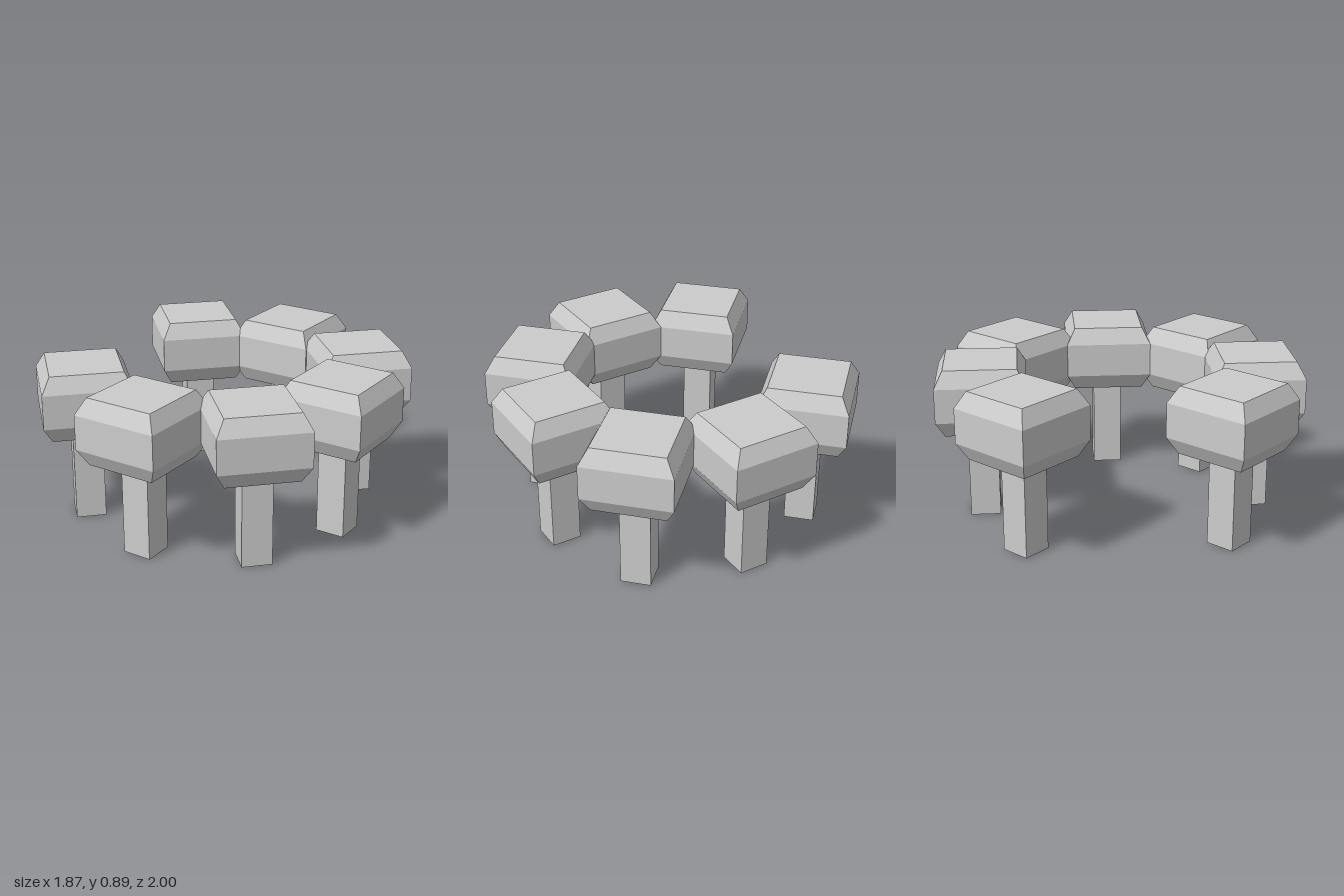
import * as THREE from 'three';

const material = new THREE.MeshStandardMaterial({ color: 0xcccccc, flatShading: true });

// Bevelled square block: a four-sided lathe, turned so its sides face the axes
function canopyGeometry() {
  const outer = 0.245 * Math.SQRT2, inner = 0.198 * Math.SQRT2;
  const profile = [
    [0, 0.52], [inner, 0.52], [outer, 0.61], [outer, 0.8], [inner, 0.89], [0, 0.89],
  ].map(([r, y]) => new THREE.Vector2(r, y));
  return new THREE.LatheGeometry(profile, 4).rotateY(Math.PI / 4);
}

export function createModel() {
  const model = new THREE.Group();
  model.name = 'treeRing';

  const canopyShape = canopyGeometry();
  const trunkShape = new THREE.BoxGeometry(0.165, 0.52, 0.165).translate(0, 0.26, 0);

  // Ring of trees with a gap on the right: name, x, z, turned by 45 degrees
  const trees = [
    ['backTree', -0.055, -0.755, false],
    ['backLeftTree', 0.493, -0.562, true],
    ['leftTree', 0.69, -0.02, false],
    ['frontLeftTree', 0.493, 0.527, true],
    ['frontTree', -0.04, 0.755, false],
    ['frontRightTree', -0.59, 0.55, true],
    ['backRightTree', -0.59, -0.533, true],
  ];

  for (const [name, x, z, turned] of trees) {
    const tree = new THREE.Group();
    tree.name = name;
    const trunk = new THREE.Mesh(trunkShape, material);
    trunk.name = 'trunk';
    const canopy = new THREE.Mesh(canopyShape, material);
    canopy.name = 'canopy';
    tree.add(trunk, canopy);
    tree.position.set(x, 0, z);
    if (turned) tree.rotation.y = Math.PI / 4;
    model.add(tree);
  }
  return model;
}
